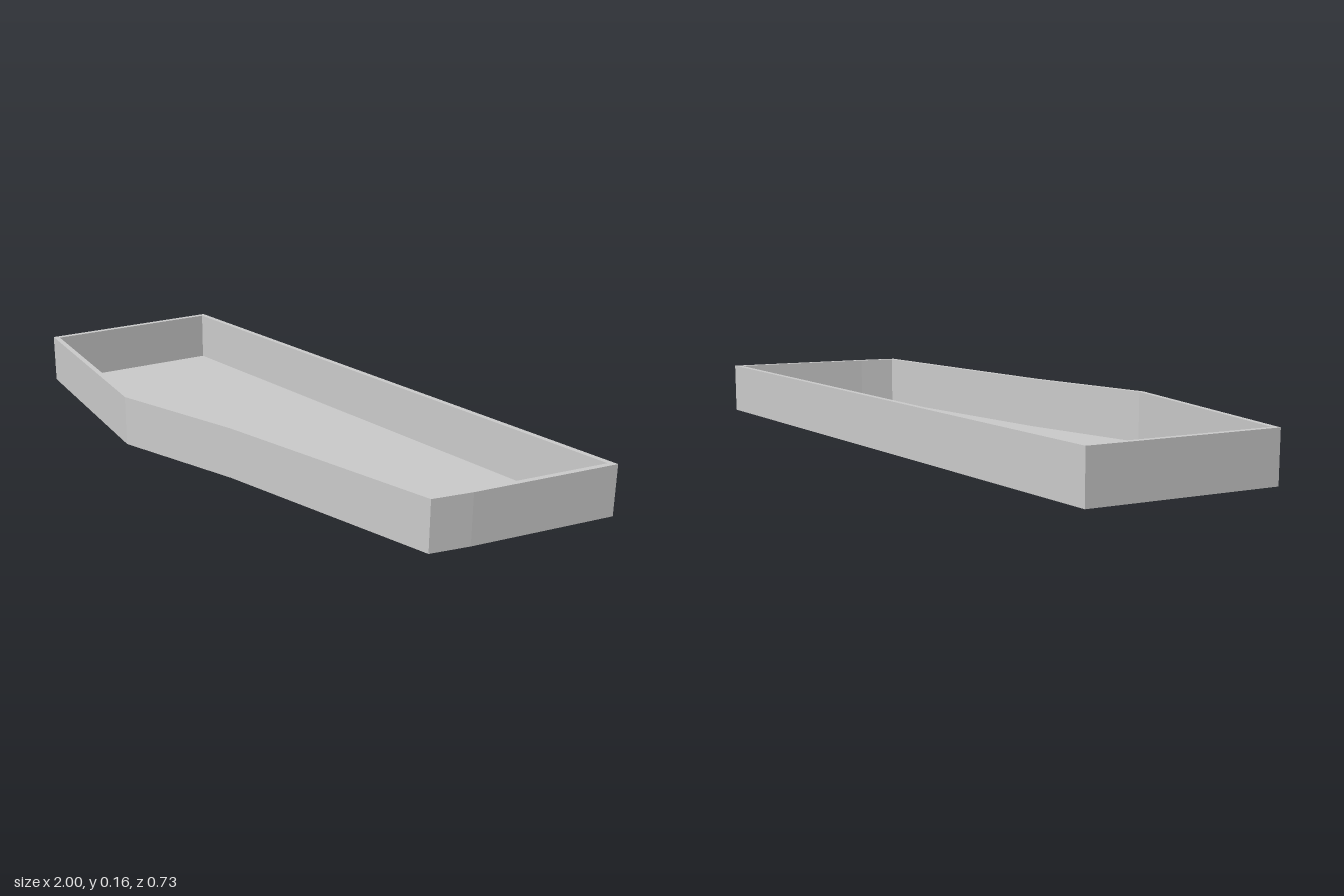
import * as THREE from 'three';

const HEIGHT = 0.16;
const WALL = 0.017;

// Tray outline as [x, z], counter-clockwise seen from above
const OUTLINE = [
  [-1, 0.21], [-0.33, 0.366], [0.09, 0.282], [0.815, 0.197], [0.86, 0.08],
  [1, -0.36], [-0.25, -0.364], [-0.87, -0.366],
].map(([x, z]) => new THREE.Vector2(x, -z));

// Mitred inward offset of a counter-clockwise outline
function inset(points, d) {
  const n = points.length;
  return points.map((p, i) => {
    const a = p.clone().sub(points[(i + n - 1) % n]).normalize();
    const b = points[(i + 1) % n].clone().sub(p).normalize();
    const na = new THREE.Vector2(-a.y, a.x);
    const nb = new THREE.Vector2(-b.y, b.x);
    return na.clone().add(nb).multiplyScalar(d / (1 + na.dot(nb))).add(p);
  });
}

export function createModel() {
  const group = new THREE.Group();
  group.name = 'tray';
  const material = new THREE.MeshStandardMaterial({
    color: 0xcccccc, flatShading: true, side: THREE.DoubleSide,
  });
  const inner = inset(OUTLINE, WALL);

  // Upright rim all the way round
  const ring = new THREE.Shape(OUTLINE);
  ring.holes.push(new THREE.Path(inner));
  const rimGeometry = new THREE.ExtrudeGeometry(ring, { depth: HEIGHT, bevelEnabled: false });
  const rim = new THREE.Mesh(rimGeometry.rotateX(-Math.PI / 2), material);
  rim.name = 'rimWall';

  // Thin floor sheet inside the rim
  const floorGeometry = new THREE.ShapeGeometry(new THREE.Shape(inner));
  const floor = new THREE.Mesh(floorGeometry.rotateX(-Math.PI / 2), material);
  floor.name = 'floor';
  floor.position.y = 0.001;

  group.add(rim, floor);
  return group;
}
